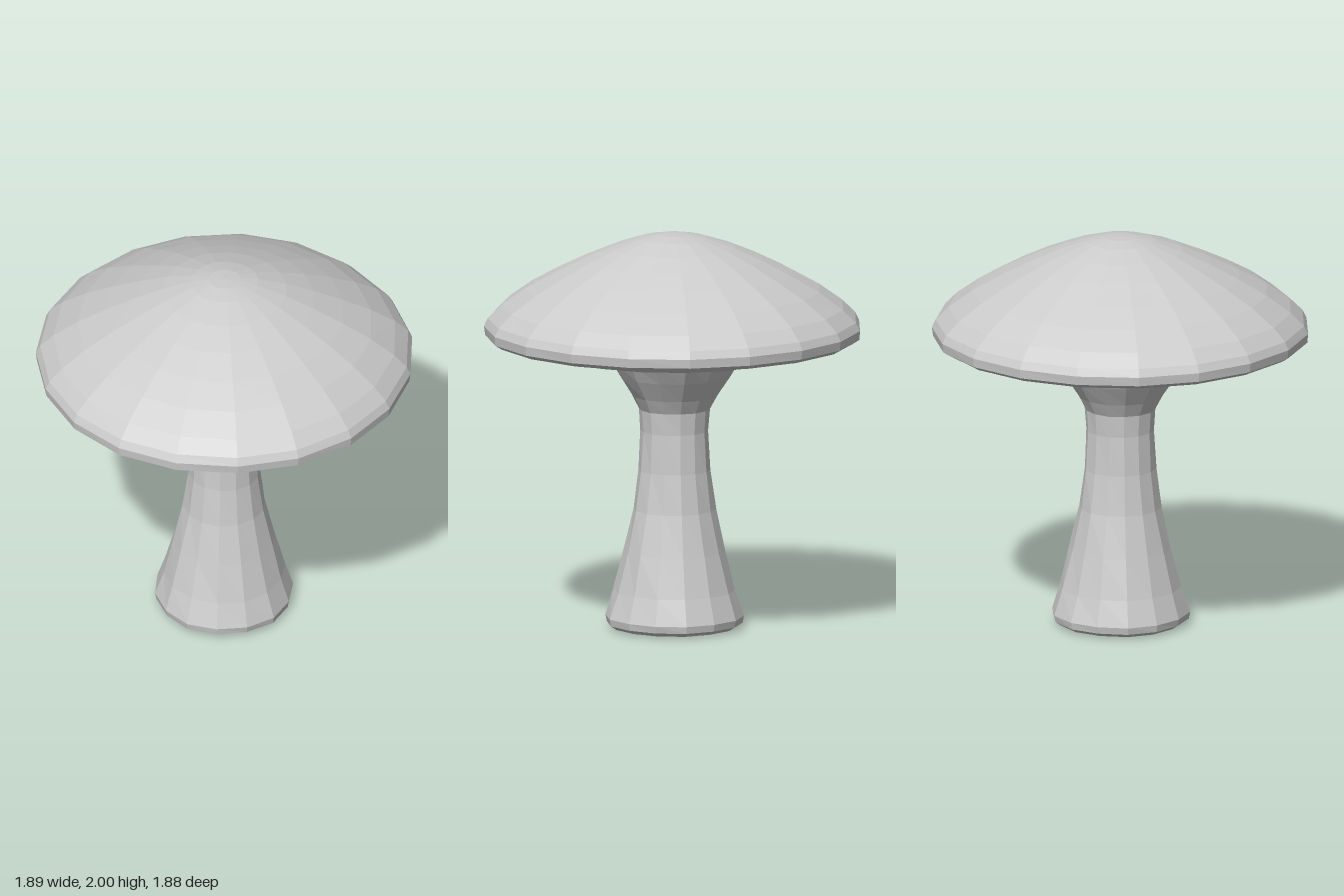
import * as THREE from 'three';

const material = new THREE.MeshStandardMaterial({ color: 0xcccccc, flatShading: true });

// Faceted turned part; profile is [radius, height] from bottom to top
function turned(name, profile, sides, startDegrees, wobble) {
  const points = profile.map(([r, y]) => new THREE.Vector2(r, y));
  const geometry = new THREE.LatheGeometry(points, sides, THREE.MathUtils.degToRad(startDegrees));
  // Slight hand-shaped unevenness, periodic in the angle so the seam stays closed
  const pos = geometry.attributes.position;
  for (let i = 0; i < pos.count; i++) {
    const x = pos.getX(i), y = pos.getY(i), z = pos.getZ(i);
    if (Math.hypot(x, z) < 1e-4) continue;
    const a = Math.atan2(x, z);
    const k = 1 + wobble * Math.sin(5 * a + 9 * y);
    pos.setXYZ(i, x * k, y, z * k);
  }
  geometry.computeVertexNormals();
  const mesh = new THREE.Mesh(geometry, material);
  mesh.name = name;
  return mesh;
}

export function createModel() {
  const model = new THREE.Group();
  model.name = 'mushroom';

  // Stem: rounded foot, narrow waist, flared collar under the cap
  const stem = turned('stem', [
    [0, 0], [0.31, 0.005], [0.34, 0.025], [0.347, 0.06], [0.305, 0.19],
    [0.255, 0.39], [0.207, 0.6], [0.18, 0.8], [0.17, 1.0], [0.178, 1.11],
    [0.215, 1.18], [0.28, 1.28], [0.345, 1.39], [0.35, 1.42],
  ], 14, -13, 0.012);
  stem.position.x = -0.006;

  // Gill disc below the cap, with a rounded outer edge
  const gills = turned('gills', [
    [0.3, 1.4], [0.38, 1.388], [0.52, 1.392], [0.66, 1.412], [0.73, 1.43], [0.785, 1.462], [0.76, 1.49],
  ], 19, -8.4, 0.006);

  // Cap: thin rolled rim and a broad dome
  const cap = turned('cap', [
    [0.7, 1.49], [0.82, 1.462], [0.905, 1.463], [0.94, 1.485], [0.945, 1.53],
    [0.925, 1.57], [0.86, 1.635], [0.74, 1.72], [0.6, 1.798], [0.45, 1.872],
    [0.31, 1.932], [0.17, 1.978], [0.08, 1.996], [0, 2],
  ], 19, -8.4, 0.003);

  model.add(stem, gills, cap);
  return model;
}
